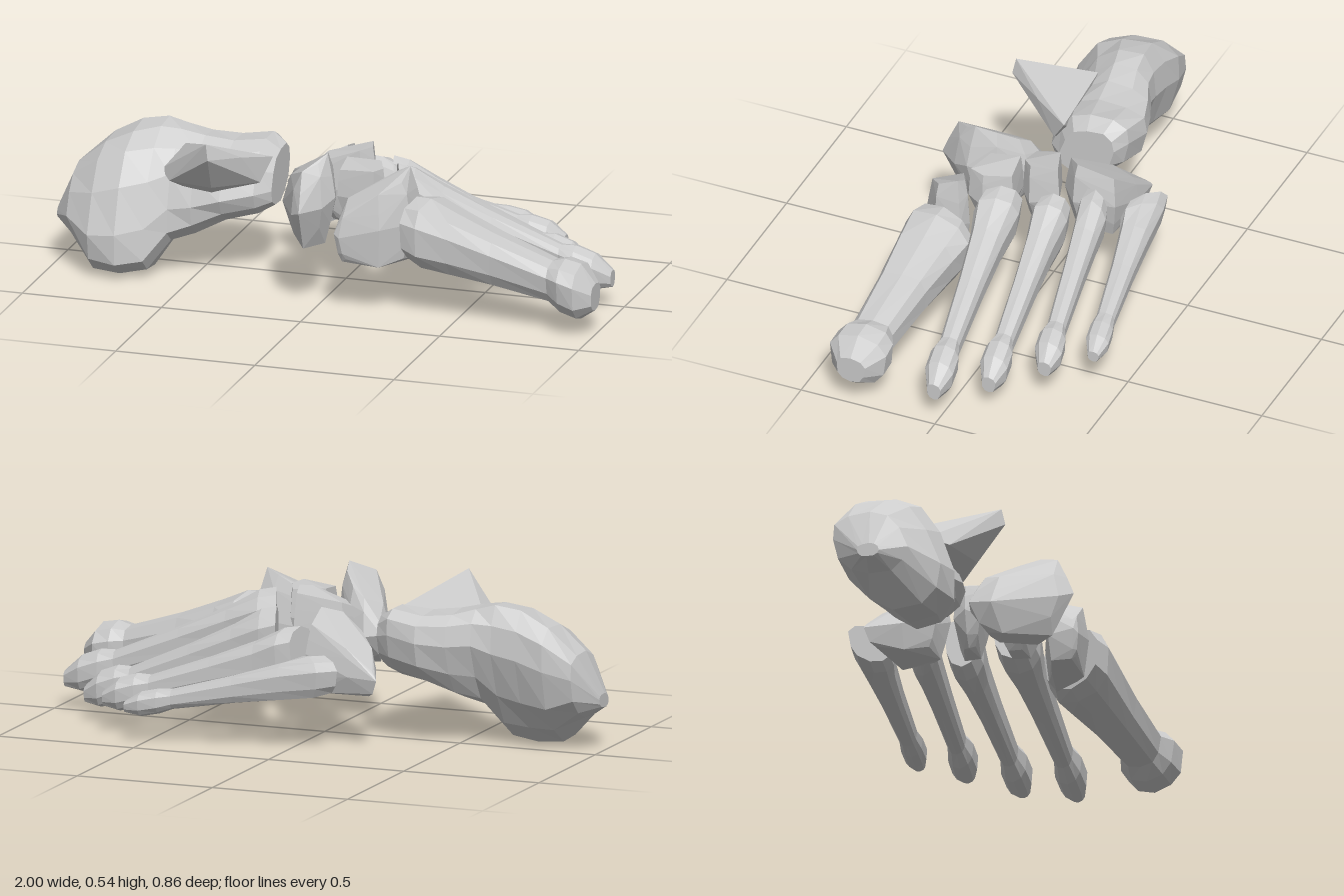
import * as THREE from 'three';
import { ConvexGeometry } from 'three/addons/geometries/ConvexGeometry.js';

const bone = new THREE.MeshStandardMaterial({ color: 0xcccccc, flatShading: true });

function part(name, geometry) {
  const mesh = new THREE.Mesh(geometry, bone);
  mesh.name = name;
  return mesh;
}

// Long bone: rounded sections along x, each { x, y, z, h, w, slant } with y and z at the centre.
// slant pushes a section along x with z; lean shifts z with height; taper narrows the underside.
function loft(sections, { sides = 10, lean = 0, taper = 0, power = 0.8 }) {
  const pos = [], index = [], last = sections.length - 1;
  const round = (v) => Math.sign(v) * Math.abs(v) ** power;
  sections.forEach(({ x, y, z, h, w, slant = 0 }, i) => {
    for (let j = 0; j < sides; j++) {
      const a = ((j + 0.5) / sides) * Math.PI * 2;
      const k = 1 + 0.03 * Math.sin(i * 5.3 + j * 3.7); // slight unevenness
      const v = round(Math.sin(a)) * k;
      const dy = (v * h) / 2;
      const dz = (round(Math.cos(a)) * k * (1 - (taper * (1 - v)) / 2) * w) / 2 - lean * dy;
      pos.push(x + slant * dz, y + dy, z + dz);
    }
  });
  for (let i = 0; i < last; i++) {
    for (let j = 0; j < sides; j++) {
      const a = i * sides + j, b = i * sides + ((j + 1) % sides);
      index.push(a, a + sides, b, b, a + sides, b + sides);
    }
  }
  // End caps
  for (const i of [0, last]) {
    const { x, y, z } = sections[i];
    const c = pos.length / 3;
    pos.push(x, y, z);
    for (let j = 0; j < sides; j++) {
      const a = i * sides + j, b = i * sides + ((j + 1) % sides);
      index.push(c, i === 0 ? a : b, i === 0 ? b : a);
    }
  }
  const g = new THREE.BufferGeometry();
  g.setAttribute('position', new THREE.Float32BufferAttribute(pos, 3));
  g.setIndex(index);
  g.computeVertexNormals();
  return g;
}

// Short bone: rounded hull over a plan outline of [x, z], pulled in at top and bottom.
// riseX and riseZ slope the upper face.
function block(outline, { low, high, riseX = 0, riseZ = 0, top = 0.7, bottom = 0.6 }) {
  const cx = outline.reduce((s, p) => s + p[0], 0) / outline.length;
  const cz = outline.reduce((s, p) => s + p[1], 0) / outline.length;
  const layers = [[0, bottom], [0.22, (1 + bottom) / 2], [0.5, 1], [0.8, (1.4 + top) / 2.4], [1, top]];
  const points = outline.flatMap(([x, z], i) => layers.map(([t, k], j) => {
    const dx = x - cx, dz = z - cz;
    const height = high - low + riseX * dx + riseZ * dz;
    const wobble = 0.012 * Math.sin(i * 2.9 + j * 4.1);
    return new THREE.Vector3(cx + dx * k, low + height * t + wobble, cz + dz * k);
  }));
  return new ConvexGeometry(points);
}

// Metatarsal: flared base, slim shaft and knobbed head between two [x, y, z, height, width] ends.
function metatarsal(base, head, slant, stout = 1) {
  const profile = [[0, 0.86], [0.08, 1], [0.22, 0.85 * stout], [0.45, 0.73 * stout],
    [0.76, 0.64 * stout], [0.83, 0.93], [0.92, 0.98], [1, 0.5]];
  return loft(profile.map(([t, k]) => {
    const [x, y, z, h, w] = base.map((v, i) => THREE.MathUtils.lerp(v, head[i], t));
    return { x, y, z, h: h * k, w: w * k, slant: slant * Math.max(0, 1 - 4 * t) };
  }), { taper: 0.2, power: 0.75 });
}

export function createModel() {
  const foot = new THREE.Group();
  foot.name = 'footBones';

  // Heel bone with its inner shelf
  const heel = new THREE.Group();
  heel.name = 'heelBone';
  const heelSections = [
    [-1, 0.18, 0.08, 0.05, 0.08],
    [-0.94, 0.235, 0.06, 0.24, 0.26],
    [-0.84, 0.23, 0.09, 0.43, 0.34],
    [-0.74, 0.25, 0.1, 0.49, 0.34],
    [-0.65, 0.265, 0.08, 0.49, 0.29],
    [-0.58, 0.31, 0.05, 0.37, 0.27],
    [-0.5, 0.315, 0.025, 0.32, 0.3],
    [-0.4, 0.335, 0.0, 0.26, 0.33],
    [-0.29, 0.355, -0.01, 0.25, 0.27],
    [-0.24, 0.35, -0.015, 0.19, 0.19],
  ];
  heel.add(part('heelBody', loft(
    heelSections.map(([x, y, z, h, w]) => ({ x, y, z, h, w })),
    { sides: 12, lean: 0.33, power: 0.85 },
  )));
  const shelf = [
    [-0.4, 0.545, 0.32], [-0.39, 0.49, 0.33], [-0.62, 0.38, 0.14], [-0.57, 0.36, 0.2],
    [-0.48, 0.45, 0.24], [-0.55, 0.46, 0.08], [-0.31, 0.47, 0.2], [-0.41, 0.36, 0.23],
    [-0.24, 0.44, 0.07], [-0.27, 0.36, 0.12], [-0.45, 0.28, 0.1],
  ];
  heel.add(part('heelShelf', new ConvexGeometry(shelf.map((p) => new THREE.Vector3(...p)))));
  foot.add(heel);

  // Short bones of the midfoot
  foot.add(part('cuboid', block(
    [[-0.29, -0.24], [-0.18, -0.235], [-0.02, -0.22], [0, -0.07], [-0.07, -0.01], [-0.16, -0.03], [-0.24, -0.12]],
    { low: 0.19, high: 0.38, riseX: 0.5, riseZ: 0.15, top: 0.85, bottom: 0.75 },
  )));
  foot.add(part('navicular', block(
    [[-0.17, 0.1], [-0.11, 0.08], [-0.04, 0.11], [0.03, 0.2], [0.06, 0.3], [0.03, 0.36], [-0.03, 0.43], [-0.07, 0.39], [-0.17, 0.18]],
    { low: 0.23, high: 0.48, riseX: 0.55 },
  )));
  foot.add(part('lateralCuneiform', block(
    [[-0.09, 0.05], [-0.07, 0], [0.09, -0.06], [0.12, 0.04], [0.08, 0.08], [-0.05, 0.09]],
    { low: 0.23, high: 0.475, riseX: 0.25, top: 0.9, bottom: 0.45 },
  )));
  foot.add(part('middleCuneiform', block(
    [[0.04, 0.22], [0.03, 0.1], [0.16, 0.08], [0.2, 0.18], [0.18, 0.24]],
    { low: 0.25, high: 0.475, top: 0.9, bottom: 0.4 },
  )));
  foot.add(part('medialCuneiform', block(
    [[0.08, 0.38], [0.07, 0.29], [0.17, 0.25], [0.28, 0.19], [0.34, 0.2], [0.33, 0.3], [0.24, 0.37], [0.1, 0.39]],
    { low: 0.19, high: 0.435, riseX: 0.35, riseZ: -0.25, top: 0.75, bottom: 0.8 },
  )));

  // Metatarsals, from the big toe side outward
  foot.add(part('firstMetatarsal', metatarsal(
    [0.34, 0.305, 0.26, 0.25, 0.28], [1, 0.14, 0.315, 0.19, 0.23], -0.25, 1.08)));
  foot.add(part('secondMetatarsal', metatarsal(
    [0.22, 0.38, 0.1, 0.21, 0.17], [0.965, 0.11, 0.02, 0.12, 0.11], 0.4)));
  foot.add(part('thirdMetatarsal', metatarsal(
    [0.15, 0.35, -0.065, 0.21, 0.14], [0.83, 0.095, -0.125, 0.12, 0.11], 0.3)));
  foot.add(part('fourthMetatarsal', metatarsal(
    [0.02, 0.32, -0.165, 0.19, 0.13], [0.7, 0.12, -0.275, 0.11, 0.11], -0.4)));
  foot.add(part('fifthMetatarsal', metatarsal(
    [-0.12, 0.27, -0.29, 0.15, 0.13], [0.57, 0.125, -0.4, 0.08, 0.09], 1.3, 1.15)));
  return foot;
}
